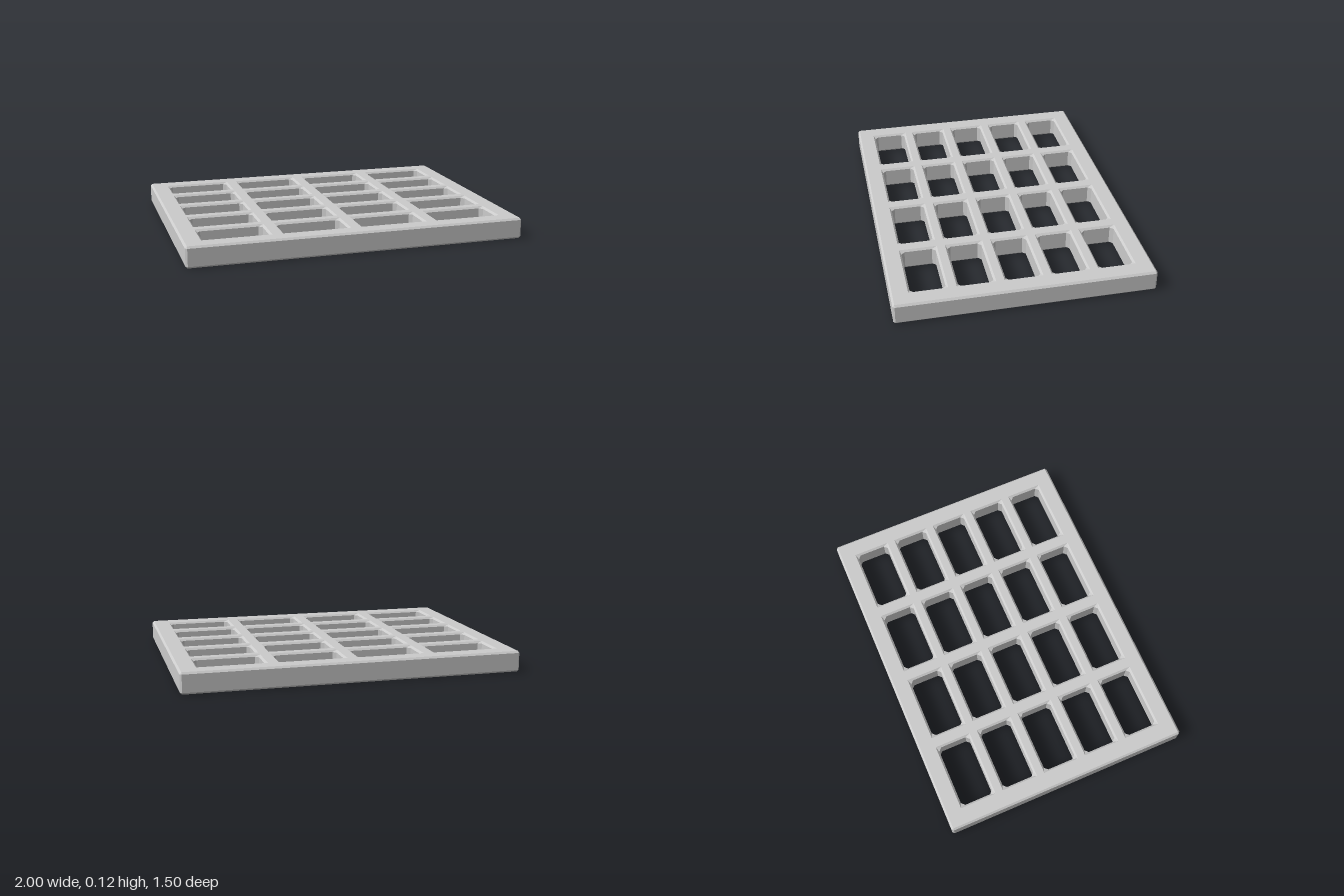
import * as THREE from 'three';
import { mergeGeometries } from 'three/addons/utils/BufferGeometryUtils.js';

const W = 2, D = 1.5, H = 0.125;           // plate size
const BEVEL = 0.011;                       // chamfer on every edge
const HOLE_W = 0.38, HOLE_D = 0.2, HOLE_CUT = 0.02;
const COLS = 4, ROWS = 5, PITCH_X = 0.464, PITCH_Z = 0.27;

// Rectangle with its corners cut off, counter-clockwise seen from above
function ring(cx, cz, w, d, cut, y) {
  const a = w / 2, b = d / 2;
  return [
    [a, b - cut], [a - cut, b], [-a + cut, b], [-a, b - cut],
    [-a, -b + cut], [-a + cut, -b], [a - cut, -b], [a, -b + cut],
  ].map(([x, s]) => new THREE.Vector3(cx + x, y, cz - s));
}

// Flat-shaded strip of faces through a stack of rings
function loft(rings, inward) {
  const pos = [];
  const tri = (a, b, c) => {
    if (a.distanceTo(b) < 1e-6 || b.distanceTo(c) < 1e-6 || c.distanceTo(a) < 1e-6) return;
    for (const p of inward ? [a, c, b] : [a, b, c]) pos.push(p.x, p.y, p.z);
  };
  for (let r = 0; r < rings.length - 1; r++) {
    const lo = rings[r], up = rings[r + 1];
    for (let i = 0; i < 8; i++) {
      const j = (i + 1) % 8;
      tri(lo[i], lo[j], up[j]);
      tri(lo[i], up[j], up[i]);
    }
  }
  const g = new THREE.BufferGeometry();
  g.setAttribute('position', new THREE.Float32BufferAttribute(pos, 3));
  g.computeVertexNormals();
  return g;
}

// Chamfered wall: sharp rectangles at both faces, cut corners between them
function wall(cx, cz, w, d, cut, grow, inward) {
  return loft([
    ring(cx, cz, w + grow, d + grow, 0, 0),
    ring(cx, cz, w, d, cut, BEVEL),
    ring(cx, cz, w, d, cut, H - BEVEL),
    ring(cx, cz, w + grow, d + grow, 0, H),
  ], inward);
}

function rectPath(path, cx, cy, w, d) {
  path.moveTo(cx - w / 2, cy - d / 2);
  path.lineTo(cx + w / 2, cy - d / 2);
  path.lineTo(cx + w / 2, cy + d / 2);
  path.lineTo(cx - w / 2, cy + d / 2);
  path.closePath();
  return path;
}

export function createModel() {
  const group = new THREE.Group();
  group.name = 'gridPlate';
  const material = new THREE.MeshStandardMaterial({ color: 0xcccccc, flatShading: true });
  const add = (name, geometry) => {
    const mesh = new THREE.Mesh(geometry, material);
    mesh.name = name;
    group.add(mesh);
    return mesh;
  };

  // Window walls, and the matching openings in the flat faces
  const face = rectPath(new THREE.Shape(), 0, 0, W - 2 * BEVEL, D - 2 * BEVEL);
  const windows = [];
  for (let c = 0; c < COLS; c++) {
    for (let r = 0; r < ROWS; r++) {
      const x = (c - (COLS - 1) / 2) * PITCH_X;
      const z = (r - (ROWS - 1) / 2) * PITCH_Z;
      windows.push(wall(x, z, HOLE_W, HOLE_D, HOLE_CUT, 2 * BEVEL, true));
      face.holes.push(rectPath(new THREE.Path(), x, z, HOLE_W + 2 * BEVEL, HOLE_D + 2 * BEVEL));
    }
  }
  add('windowWalls', mergeGeometries(windows));

  // Outer rim and the two flat faces
  add('outerRim', wall(0, 0, W, D, BEVEL, -2 * BEVEL, false));
  add('topFace', new THREE.ShapeGeometry(face).rotateX(-Math.PI / 2).translate(0, H, 0));
  add('bottomFace', new THREE.ShapeGeometry(face).rotateX(Math.PI / 2));
  return group;
}
